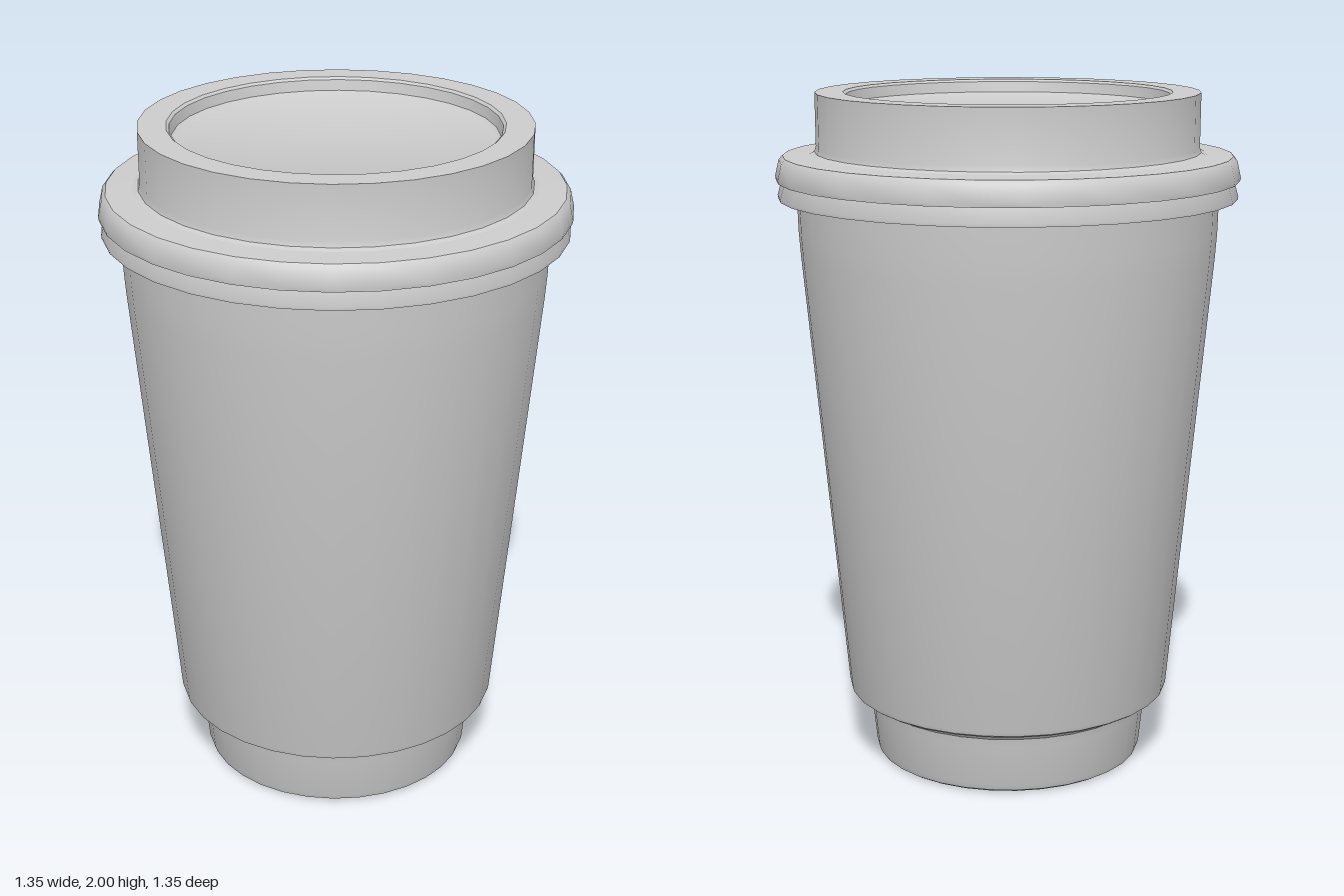
import * as THREE from 'three';
import { toCreasedNormals } from 'three/addons/utils/BufferGeometryUtils.js';

const SIDES = 32;

// Revolves a [radius, height] profile, listed from the bottom centre up and over
function turned(name, profile, crease = 0.6) {
  const points = profile.map(([r, y]) => new THREE.Vector2(r, y));
  const geometry = toCreasedNormals(new THREE.LatheGeometry(points, SIDES), crease);
  const material = new THREE.MeshStandardMaterial({ color: 0xcccccc, side: THREE.DoubleSide });
  const mesh = new THREE.Mesh(geometry, material);
  mesh.name = name;
  return mesh;
}

export function createModel() {
  const group = new THREE.Group();
  group.name = 'takeawayCup';

  // Narrow foot with a softened bottom edge
  group.add(turned('cupBase', [
    [0, 0], [0.385, 0], [0.398, 0.008], [0.404, 0.025],
    [0.417, 0.15], [0.422, 0.175], [0.435, 0.187],
  ]));

  // Tapered wall, stepping out over the foot and straightening near the lid
  group.add(turned('cupBody', [
    [0.42, 0.175], [0.435, 0.187], [0.468, 0.2], [0.48, 0.208], [0.484, 0.22],
    [0.605, 1.53], [0.61, 1.6], [0.613, 1.705],
  ]));

  // Lower snap ring of the lid
  group.add(turned('lidLowerRing', [
    [0.6, 1.698], [0.667, 1.698], [0.668, 1.706], [0.656, 1.748], [0.6, 1.75],
  ]));

  // Wide upper rim, sloping in at the top
  group.add(turned('lidRim', [
    [0.6, 1.75], [0.672, 1.75], [0.674, 1.76], [0.663, 1.808],
    [0.652, 1.82], [0.56, 1.825],
  ]));

  // Raised lid top with a shallow recessed panel
  group.add(turned('lidTop', [
    [0.575, 1.824], [0.56, 1.83], [0.555, 1.845], [0.556, 2],
    [0.475, 2], [0.467, 1.993], [0.461, 1.962], [0.448, 1.955], [0, 1.955],
  ]));

  return group;
}
